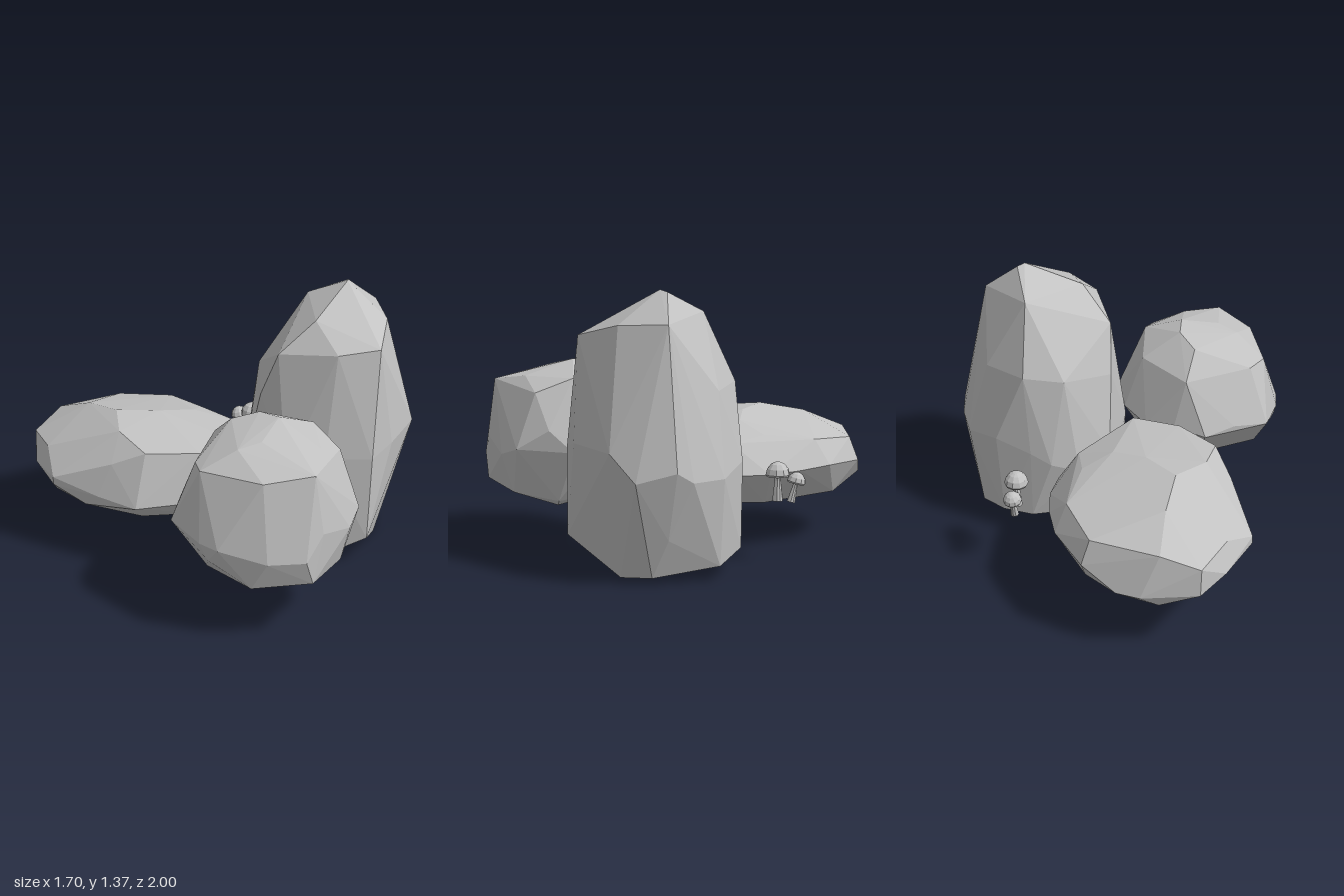
import * as THREE from 'three';
import { ConvexGeometry } from 'three/addons/geometries/ConvexGeometry.js';

// Corner points [x, y, z] of each faceted boulder, listed from top to bottom.
const TALL = [
  [0.5, 1.37, 0.2], [0.53, 1.36, 0.17], [0.43, 1.26, -0.02], [0.22, 1.25, 0.28],
  [0.71, 1.22, 0.19], [0.58, 1.21, 0.41], [0.38, 1.15, 0.58], [0.05, 1.09, 0.2], [0.2, 1.13, 0.47],
  [0.4, 0.92, -0.18], [0.2, 0.9, -0.13], [0.63, 0.9, -0.06], [0.76, 0.95, 0.18], [0.02, 0.85, 0.1],
  [0.85, 0.55, 0.17], [0.82, 0.5, 0.36], [0.83, 0.5, 0.09], [0.74, 0.5, -0.07], [0.55, 0.55, -0.19],
  [0.36, 0.5, -0.21], [0.25, 0.45, -0.21], [0.12, 0.4, -0.15], [0, 0.45, 0], [0, 0.5, 0.32],
  [0.12, 0.6, 0.48], [0.3, 0.6, 0.63], [0.45, 0.64, 0.61], [0.73, 0.63, 0.47],
  [0.28, 0.16, 0.63], [0.2, 0.1, 0.55], [0.77, 0.22, 0.2], [0.71, 0.03, 0.27], [0.55, 0, 0.4],
  [0.23, 0, 0.12], [0.14, 0.05, 0.2], [0, 0.26, 0.1], [0.02, 0.26, 0.34],
  [0.36, 0.12, -0.2], [0.68, 0.07, -0.06], [0.16, 0.12, -0.1], [0.52, 0.12, -0.19],
];
const ROUND = [
  [-0.24, 0.97, 0.55], [-0.26, 0.96, 0.43], [-0.36, 0.92, 0.34], [-0.53, 0.91, 0.6], [-0.42, 0.93, 0.64],
  [-0.04, 0.89, 0.57], [-0.2, 0.89, 0.8], [-0.36, 0.86, 0.95], [-0.64, 0.81, 0.42], [-0.69, 0.82, 0.52],
  [-0.56, 0.83, 0.82], [-0.08, 0.82, 0.36], [-0.35, 0.8, 0.2], [-0.04, 0.82, 0.76],
  [0.06, 0.64, 0.7], [0.1, 0.53, 0.58], [0.1, 0.53, 0.46], [0, 0.55, 0.3], [-0.14, 0.52, 0.2],
  [-0.3, 0.55, 0.16], [-0.47, 0.52, 0.15], [-0.6, 0.55, 0.25], [-0.75, 0.52, 0.37], [-0.76, 0.5, 0.6],
  [-0.74, 0.5, 0.71], [-0.6, 0.46, 0.9], [-0.45, 0.46, 1], [-0.34, 0.57, 0.99], [-0.12, 0.5, 0.93], [0, 0.54, 0.86],
  [-0.74, 0.42, 0.64], [-0.4, 0.33, 0.99], [-0.63, 0.31, 0.82], [-0.52, 0.27, 0.75], [-0.2, 0.25, 0.75],
  [-0.05, 0.24, 0.65], [0, 0.27, 0.65], [-0.15, 0.29, 0.36], [-0.36, 0.28, 0.34], [-0.66, 0.31, 0.53],
  [-0.12, 0.3, 0.87],
];
const FLAT = [
  [-0.46, 0.69, -0.48], [-0.57, 0.67, -0.3], [-0.28, 0.68, -0.35], [-0.47, 0.645, -0.72],
  [-0.1, 0.65, -0.3], [0.03, 0.59, -0.4], [0.1, 0.56, -0.22], [0.03, 0.56, -0.67], [-0.15, 0.54, -0.9],
  [-0.5, 0.55, -0.95], [-0.69, 0.48, -0.91], [-0.76, 0.5, -0.68], [-0.76, 0.5, -0.5], [-0.68, 0.55, -0.22],
  [-0.57, 0.63, -0.08], [-0.35, 0.62, 0.07], [-0.1, 0.61, 0.1], [-0.85, 0.42, -0.5], [-0.85, 0.38, -0.5],
  [-0.78, 0.38, -0.77], [-0.69, 0.34, -0.92], [-0.42, 0.33, -1], [-0.3, 0.33, -0.99], [-0.12, 0.42, -0.94],
  [0.07, 0.43, -0.74], [0.15, 0.42, -0.57], [0.2, 0.41, -0.4], [0.2, 0.41, -0.25], [0.15, 0.41, -0.14],
  [-0.02, 0.42, 0.1], [-0.15, 0.4, 0.18], [-0.35, 0.38, 0.14], [-0.66, 0.36, -0.05], [-0.75, 0.38, -0.25],
  [-0.8, 0.32, -0.55], [-0.77, 0.31, -0.33], [-0.5, 0.27, -0.95], [-0.1, 0.26, -0.8], [0.07, 0.245, -0.4],
  [0.02, 0.245, -0.1], [-0.2, 0.25, 0.1], [-0.55, 0.24, -0.15],
];

export function createModel() {
  const group = new THREE.Group();
  const stone = new THREE.MeshStandardMaterial({ color: 0xc2c2c2, flatShading: true });
  stone.name = 'light grey stone';

  const add = (parent, name, geometry) => {
    const mesh = new THREE.Mesh(geometry, stone);
    mesh.name = name;
    parent.add(mesh);
  };

  // Three boulders
  for (const [name, corners] of [['tallBoulder', TALL], ['roundBoulder', ROUND], ['flatBoulder', FLAT]]) {
    add(group, name, new ConvexGeometry(corners.map(p => new THREE.Vector3(...p))));
  }

  // Mushroom: closed dome cap on a flared stem
  const lathe = points => new THREE.LatheGeometry(points.map(p => new THREE.Vector2(...p)), 10);
  const mushroom = (name, x, y, z, size, tilt) => {
    const m = new THREE.Group();
    m.name = name;
    add(m, 'stem', lathe([[0, 0], [0.027, 0], [0.022, 0.05], [0.016, 0.1], [0.016, 0.14], [0, 0.14]]));
    add(m, 'cap', lathe([[0, 0.135], [0.035, 0.128], [0.056, 0.122], [0.061, 0.132], [0.054, 0.16],
      [0.035, 0.183], [0.015, 0.193], [0, 0.195]]));
    m.position.set(x, y, z);
    m.scale.setScalar(size);
    m.rotation.x = tilt;
    group.add(m);
  };
  mushroom('largeMushroom', 0.375, 0.315, -0.4, 1, 0);
  mushroom('smallMushroom', 0.365, 0.305, -0.47, 0.78, -0.25);

  return group;
}
